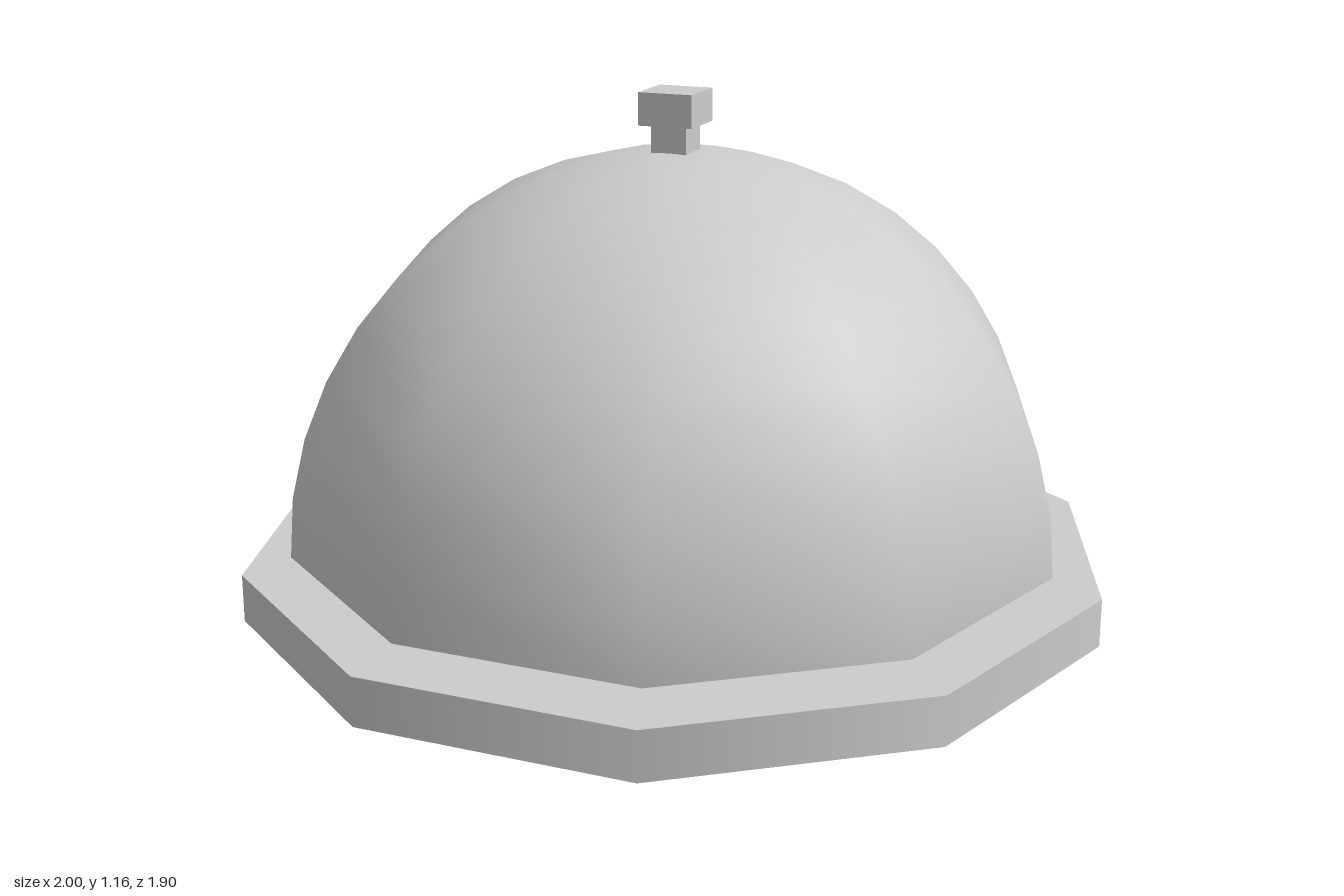
import * as THREE from 'three';

const SIDES = 10;

export function createModel() {
  const model = new THREE.Group();
  const material = new THREE.MeshStandardMaterial({ color: 0xcccccc, side: THREE.DoubleSide });

  function add(name, geometry, y) {
    const mesh = new THREE.Mesh(geometry, material);
    mesh.name = name;
    mesh.position.y = y;
    model.add(mesh);
    return mesh;
  }

  // Shallow ten-sided tray, hollow underneath: a wall and a top plate, corners on the x axis
  const trayHeight = 0.11;
  const wall = new THREE.CylinderGeometry(1, 1, trayHeight, SIDES, 1, true).rotateY(Math.PI / 2);
  add('trayWall', wall, trayHeight / 2);
  const plate = new THREE.CircleGeometry(1, SIDES).rotateX(-Math.PI / 2);
  add('trayTop', plate, trayHeight);

  // Open hemispherical cover floating just above the tray
  const dome = new THREE.SphereGeometry(0.89, SIDES, 10, 0, Math.PI * 2, 0, Math.PI / 2);
  add('domeCover', dome, 0.143);

  // Square knob on a narrower stem
  add('knobStem', new THREE.BoxGeometry(0.084, 0.08, 0.084), 1.055);
  add('knobCap', new THREE.BoxGeometry(0.127, 0.074, 0.127), 1.128);

  return model;
}
